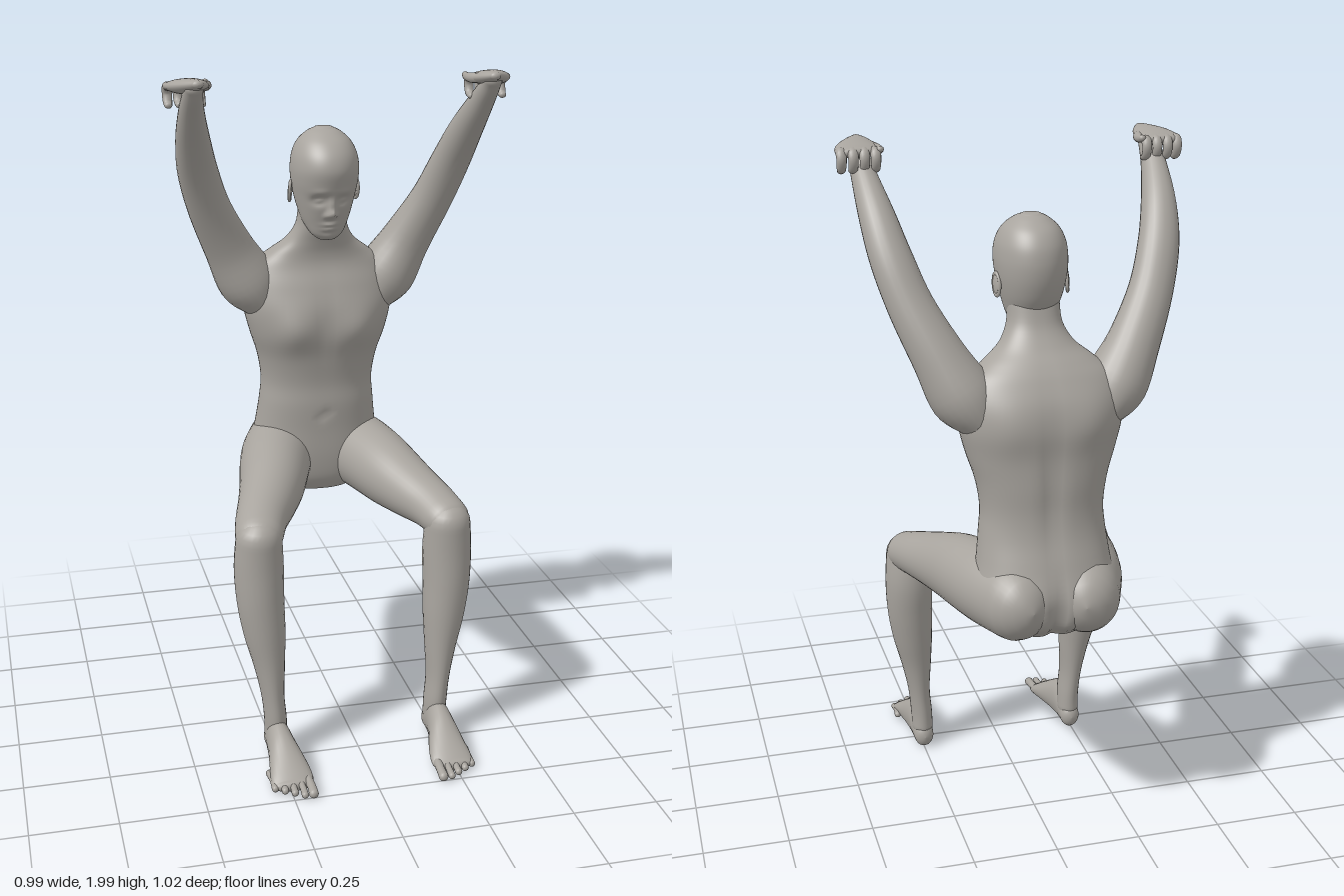
import * as THREE from 'three';

const skin = new THREE.MeshStandardMaterial({ color: 0xa8a49e });
skin.name = 'warm grey';

// Catmull-Rom interpolation of whole cross-sections
function sample(rows, u) {
  const n = rows.length - 1, i = Math.min(Math.floor(u * n), n - 1), t = u * n - i;
  const [p, q, r, s] = [-1, 0, 1, 2].map(k => rows[Math.max(0, Math.min(n, i + k))]);
  return q.map((_, c) => 0.5 * (2 * q[c] + (r[c] - p[c]) * t
    + (2 * p[c] - 5 * q[c] + 4 * r[c] - s[c]) * t * t
    + (3 * q[c] - p[c] - 3 * r[c] + s[c]) * t * t * t));
}

// Smooth closed skin through sections [x, y, z, halfWidth, halfDepth], with rounded ends
function loft(name, rows, { axis, seg = 24, steps = 5, power = 2, dome = 0.9, shape } = {}) {
  const count = (rows.length - 1) * steps, caps = 5, rings = [];
  const centre = u => new THREE.Vector3(...sample(rows, u));
  const frame = u => {
    const T = axis ? new THREE.Vector3(...axis)
      : centre(Math.min(1, u + 0.02)).sub(centre(Math.max(0, u - 0.02))).normalize();
    const U = new THREE.Vector3(1, 0, 0).addScaledVector(T, -T.x).normalize();
    return { T, U, V: T.clone().cross(U) };
  };
  const addRing = (u, shift, k) => {
    const s = sample(rows, u), f = frame(u);
    rings.push({ c: centre(u).addScaledVector(f.T, shift * Math.min(s[3], s[4])), a: s[3] * k, b: s[4] * k, ...f });
  };
  for (let i = 0; i < caps; i++) {
    const t = (1 - i / caps) * Math.PI / 2;
    addRing(0, -dome * Math.sin(t), Math.cos(t));
  }
  for (let i = 0; i <= count; i++) addRing(i / count, 0, 1);
  for (let i = 1; i <= caps; i++) {
    const t = i / caps * Math.PI / 2;
    addRing(1, dome * Math.sin(t), Math.cos(t));
  }
  const pos = [], index = [], pw = x => Math.sign(x) * Math.abs(x) ** (2 / power);
  rings.forEach((r, i) => {
    for (let j = 0; j < seg; j++) {
      const t = j / seg * Math.PI * 2;
      const p = r.c.clone().addScaledVector(r.U, r.a * pw(Math.cos(t))).addScaledVector(r.V, r.b * pw(Math.sin(t)));
      if (shape) shape(p, r);
      pos.push(p.x, p.y, p.z);
      if (i < rings.length - 1) {
        const k = (j + 1) % seg, a = i * seg + j, b = i * seg + k;
        index.push(a, b, b + seg, a, b + seg, a + seg);
      }
    }
  });
  const g = new THREE.BufferGeometry();
  g.setAttribute('position', new THREE.Float32BufferAttribute(pos, 3));
  g.setIndex(index);
  g.computeVertexNormals();
  const mesh = new THREE.Mesh(g, skin);
  mesh.name = name;
  return mesh;
}

// Soft bump of height h centred on (x, y)
const bump = (p, x, y, rx, ry, h) => h * Math.exp(-(((p.x - x) / rx) ** 2) - ((p.y - y) / ry) ** 2);

function makeTorso() {
  return loft('torso', [
    [0, 0.67, -0.33, 0.12, 0.11], [0, 0.71, -0.34, 0.175, 0.14], [0, 0.78, -0.34, 0.203, 0.15],
    [0, 0.87, -0.325, 0.19, 0.138], [0, 0.95, -0.31, 0.18, 0.128], [0, 1.02, -0.305, 0.175, 0.123],
    [0, 1.1, -0.298, 0.187, 0.13], [0, 1.18, -0.288, 0.212, 0.138], [0, 1.26, -0.288, 0.23, 0.14],
    [0, 1.33, -0.29, 0.225, 0.125], [0, 1.39, -0.285, 0.2, 0.1], [0, 1.43, -0.272, 0.155, 0.085],
    [0, 1.47, -0.25, 0.105, 0.073], [0, 1.52, -0.225, 0.077, 0.066], [0, 1.58, -0.21, 0.072, 0.064],
  ], {
    axis: [0, 1, 0], seg: 64, power: 2.35, dome: 0.2, shape(p, r) {
      const front = p.z - r.c.z > 0.03, back = p.z - r.c.z < -0.03;
      if (front) {
        for (const s of [-1, 1]) p.z += bump(p, s * 0.1, 1.2, 0.06, 0.06, 0.018); // chest
        p.z -= bump(p, 0, 1.22, 0.025, 0.1, 0.006) + bump(p, 0, 0.92, 0.012, 0.014, 0.008);
      }
      if (back) {
        p.z += bump(p, 0, 1.1, 0.025, 0.2, 0.012) + bump(p, 0, 0.72, 0.018, 0.09, 0.03);
        for (const s of [-1, 1]) p.z -= bump(p, s * 0.11, 1.28, 0.06, 0.07, 0.008); // shoulder blades
      }
    },
  });
}

function makeHead() {
  // y, front z, back z, half width
  const rows = [
    [1.487, -0.135, -0.17, 0.026], [1.505, -0.118, -0.2, 0.048], [1.54, -0.104, -0.255, 0.068],
    [1.58, -0.088, -0.285, 0.081], [1.62, -0.074, -0.302, 0.091], [1.66, -0.058, -0.311, 0.098],
    [1.7, -0.05, -0.312, 0.1], [1.74, -0.061, -0.303, 0.094], [1.775, -0.09, -0.28, 0.077],
    [1.8, -0.13, -0.245, 0.05], [1.811, -0.16, -0.22, 0.028],
  ].map(([y, f, b, w]) => [0, y, (f + b) / 2, w, (f - b) / 2]);
  return loft('head', rows, {
    axis: [0, 1, 0], seg: 80, steps: 8, power: 2.1, dome: 0.15, shape(p, r) {
      if (p.z - r.c.z < 0.01) return;
      const q = p.clone();
      for (const s of [-1, 1]) {
        p.z -= bump(q, s * 0.036, 1.612, 0.02, 0.014, 0.016); // eye sockets
        p.z += bump(q, s * 0.036, 1.611, 0.012, 0.007, 0.01); // eyelids
        p.z += bump(q, s * 0.035, 1.638, 0.025, 0.01, 0.004); // brows
        p.z += bump(q, s * 0.014, 1.566, 0.007, 0.008, 0.01); // nostrils
      }
      p.z += bump(q, 0, 1.572, 0.011, 0.014, 0.028) + bump(q, 0, 1.598, 0.009, 0.022, 0.014); // nose
      p.z += bump(q, 0, 1.537, 0.022, 0.006, 0.009) + bump(q, 0, 1.522, 0.02, 0.006, 0.008); // lips
      p.z += bump(q, 0, 1.495, 0.025, 0.012, 0.006); // chin
    },
  });
}

function makeEar(s) {
  const ear = new THREE.Group();
  ear.name = 'ear';
  const lobe = new THREE.Mesh(new THREE.SphereGeometry(1, 16, 12), skin);
  lobe.scale.set(0.007, 0.03, 0.017);
  const rim = new THREE.Mesh(new THREE.TorusGeometry(0.022, 0.005, 8, 24), skin);
  rim.rotation.y = Math.PI / 2;
  rim.scale.set(0.75, 1.35, 1);
  ear.add(lobe, rim);
  ear.position.set(s * 0.1, 1.625, -0.2);
  ear.rotation.set(0.25, s * 0.3, 0);
  return ear;
}

function makeArm(s) {
  const g = new THREE.Group();
  g.name = s > 0 ? 'leftArm' : 'rightArm';
  const m = rows => rows.map(([x, ...rest]) => [s * x, ...rest]);
  g.add(loft('arm', m([
    [0.175, 1.28, -0.29, 0.065, 0.09], [0.22, 1.345, -0.282, 0.09, 0.098], [0.277, 1.45, -0.26, 0.075, 0.074],
    [0.34, 1.58, -0.212, 0.064, 0.058], [0.38, 1.7, -0.157, 0.059, 0.053], [0.402, 1.8, -0.088, 0.05, 0.05],
    [0.417, 1.89, 0.0, 0.037, 0.04], [0.422, 1.945, 0.064, 0.029, 0.031], [0.422, 1.968, 0.095, 0.026, 0.022],
  ])));
  // hand folded back over the wrist
  g.add(loft('palm', m([
    [0.417, 1.982, 0.128, 0.016, 0.011], [0.422, 1.976, 0.095, 0.038, 0.018], [0.43, 1.97, 0.055, 0.056, 0.022],
    [0.434, 1.967, 0.015, 0.062, 0.019], [0.435, 1.963, -0.005, 0.056, 0.015],
  ]), { axis: [0, 0, -1] }));
  for (let i = 0; i < 4; i++) {
    const x = 0.388 + 0.031 * i, d = i === 3 ? 0.008 : 0;
    g.add(loft('finger', m([
      [x, 1.966, 0.015, 0.014, 0.012], [x, 1.964, -0.01 + d, 0.015, 0.013], [x, 1.945, -0.02 + d, 0.014, 0.012],
      [x, 1.922, -0.012 + d, 0.013, 0.011], [x, 1.914, 0.008, 0.011, 0.009],
    ]), { seg: 12, steps: 4 }));
  }
  g.add(loft('thumb', m([
    [0.398, 1.972, 0.07, 0.015, 0.015], [0.38, 1.968, 0.035, 0.015, 0.014],
    [0.375, 1.968, 0.005, 0.012, 0.012], [0.375, 1.972, -0.015, 0.01, 0.009],
  ]), { seg: 12 }));
  return g;
}

function makeLeg(s) {
  const g = new THREE.Group();
  g.name = s > 0 ? 'leftLeg' : 'rightLeg';
  const m = rows => rows.map(([x, ...rest]) => [s * x, ...rest]);
  const ground = p => { p.y = Math.max(p.y, 0.003); };
  g.add(loft('thigh', m([
    [0.102, 0.768, -0.405, 0.1, 0.11], [0.132, 0.765, -0.29, 0.112, 0.116], [0.163, 0.757, -0.18, 0.108, 0.112],
    [0.19, 0.745, -0.08, 0.1, 0.103], [0.225, 0.729, 0.02, 0.088, 0.087], [0.26, 0.714, 0.11, 0.077, 0.072],
    [0.282, 0.698, 0.185, 0.071, 0.062],
  ]), { seg: 36, dome: 1.05 }));
  g.add(loft('shin', m([
    [0.285, 0.69, 0.196, 0.068, 0.068], [0.286, 0.6, 0.19, 0.073, 0.075], [0.284, 0.5, 0.197, 0.07, 0.073],
    [0.275, 0.4, 0.205, 0.062, 0.067], [0.264, 0.3, 0.213, 0.047, 0.058], [0.256, 0.2, 0.219, 0.034, 0.053],
    [0.249, 0.12, 0.221, 0.033, 0.052], [0.248, 0.065, 0.215, 0.033, 0.046],
  ]), { shape: ground }));
  g.add(loft('foot', m([
    [0.248, 0.042, 0.192, 0.031, 0.04], [0.248, 0.062, 0.25, 0.036, 0.064], [0.246, 0.056, 0.31, 0.043, 0.06],
    [0.242, 0.041, 0.37, 0.055, 0.043], [0.241, 0.026, 0.42, 0.062, 0.027], [0.242, 0.018, 0.445, 0.058, 0.017],
  ]), { axis: [0, 0, 1], shape: ground }));
  [0.512, 0.51, 0.493, 0.476, 0.458].forEach((tip, i) => {
    const x = 0.194 + 0.0255 * i, r = i ? 0.0105 : 0.014;
    g.add(loft('toe', m([
      [x + 0.003, 0.024, tip - 0.085, r, r], [x, 0.022, tip - 0.045, r * 0.9, r * 0.9], [x, 0.016, tip - r, r, r],
    ]), { seg: 12, shape: ground }));
  });
  return g;
}

export function createModel() {
  const model = new THREE.Group();
  model.name = 'seatedFigure';
  model.add(makeTorso(), makeHead());
  for (const s of [1, -1]) model.add(makeEar(s), makeArm(s), makeLeg(s));
  return model;
}
